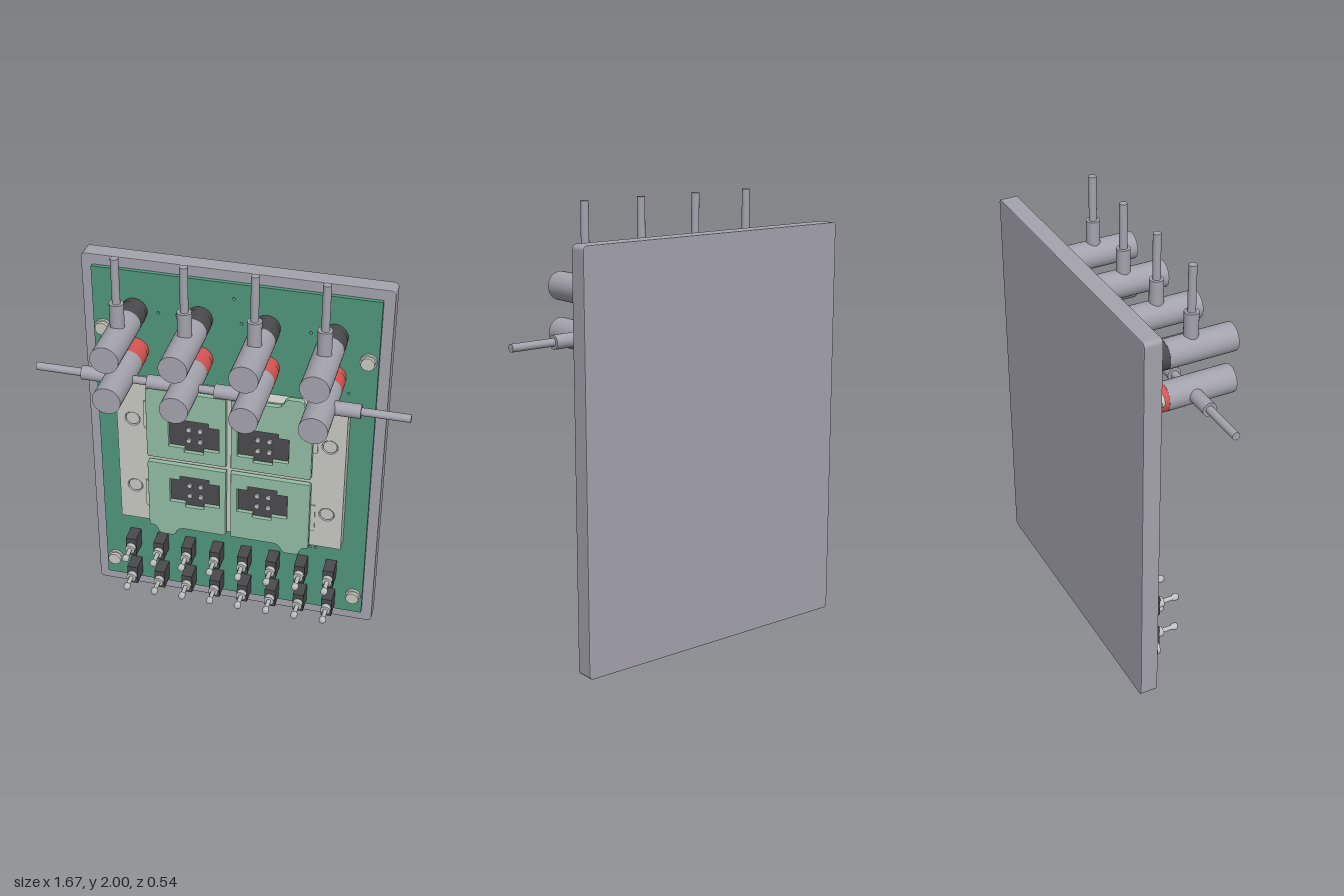
import * as THREE from 'three';

const mat = (name, color, side = THREE.FrontSide) => {
  const m = new THREE.MeshStandardMaterial({ color, side });
  m.name = name;
  return m;
};

export function createModel() {
  const root = new THREE.Group();
  root.name = 'controlPanel';
  const M = {
    grey: mat('plateGrey', 0xa4a3ad),
    pcb: mat('boardGreen', 0x4f967c),
    mint: mat('coverMint', 0x92bda4),
    pale: mat('paleGrey', 0xc8c8c3),
    black: mat('darkPlastic', 0x4a494c),
    red: mat('redPlastic', 0xd55452),
    metal: mat('metal', 0xbfc0c0),
  };

  const add = (name, geo, material, x = 0, y = 0, z = 0, parent = root) => {
    const m = new THREE.Mesh(geo, material);
    m.name = name;
    m.position.set(x, y, z);
    parent.add(m);
    return m;
  };
  // box from its extents
  const box = (name, x0, x1, y0, y1, z0, z1, material, parent) =>
    add(name, new THREE.BoxGeometry(x1 - x0, y1 - y0, z1 - z0), material,
      (x0 + x1) / 2, (y0 + y1) / 2, (z0 + z1) / 2, parent);
  // cylinder along z
  const rod = (name, r, x, y, z0, z1, material, parent, seg = 32) =>
    add(name, new THREE.CylinderGeometry(r, r, z1 - z0, seg).rotateX(Math.PI / 2), material,
      x, y, (z0 + z1) / 2, parent);
  const circle = (x, y, r) => new THREE.Path().absarc(x, y, r, 0, Math.PI * 2, true);
  const rounded = (x0, x1, y0, y1, r) => {
    const s = new THREE.Shape();
    s.absarc(x1 - r, y1 - r, r, 0, Math.PI / 2);
    s.absarc(x0 + r, y1 - r, r, Math.PI / 2, Math.PI);
    s.absarc(x0 + r, y0 + r, r, Math.PI, Math.PI * 1.5);
    s.absarc(x1 - r, y0 + r, r, Math.PI * 1.5, Math.PI * 2);
    return s;
  };
  const extrude = (shape, depth, curveSegments = 6, bevel = 0) => new THREE.ExtrudeGeometry(shape, {
    depth: depth - 2 * bevel, curveSegments, bevelEnabled: bevel > 0,
    bevelThickness: bevel, bevelSize: bevel, bevelOffset: -bevel, bevelSegments: 2,
  }).translate(0, 0, bevel);

  // Backing plate and circuit board with drilled holes
  add('backPlate', extrude(rounded(-0.7, 0.7, 0, 1.86, 0.02), 0.083, 6, 0.004), M.grey, 0, 0, -0.27);
  const board = rounded(-0.65, 0.65, 0.06, 1.81, 0.004);
  for (const cx of [-0.355, -0.12, 0.12, 0.355])
    for (let i = -2; i <= 2; i++) board.holes.push(circle(cx + i * 0.027, 0.425, 0.007));
  for (const [x, y] of [[0, 1.735], [-0.345, 1.615], [-0.26, 1.615], [0.035, 1.615], [0.345, 1.615], [-0.53, 1.33], [0.525, 1.33]])
    board.holes.push(circle(x, y, 0.007));
  add('circuitBoard', extrude(board, 0.02), M.pcb, 0, 0, -0.188);

  // Corner screws
  for (const x of [-0.605, 0.605]) for (const y of [0.165, 1.51]) {
    rod('screwWasher', 0.038, x, y, -0.17, -0.155, M.pale);
    rod('screwHead', 0.031, x, y, -0.156, -0.138, M.pale);
  }

  // Central mounting block with its mounting holes and side clips
  const block = rounded(-0.54, 0.54, 0.49, 1.27, 0.004);
  for (const x of [-0.465, 0.465]) for (const y of [0.685, 1.07]) {
    block.holes.push(circle(x, y, 0.037));
    rod('blockScrew', 0.032, x, y, -0.17, -0.108, M.pale);
  }
  add('mountingBlock', extrude(block, 0.065, 12), M.pale, 0, 0, -0.169);
  for (const s of [-1, 1]) for (const y of [0.655, 1.105]) {
    const x = s * 0.36;
    box('sideClip', x - 0.05, x + 0.05, y - 0.075, y + 0.075, -0.106, -0.098, M.pale);
  }

  // Four mint covers, each with a tab, a cross-shaped opening and a pin socket
  const cross = (Type, cx, cy) => {
    const p = new Type();
    const pts = [[0.12, 0.065], [0.07, 0.065], [0.07, 0.088], [-0.07, 0.088], [-0.07, 0.065], [-0.12, 0.065],
      [-0.12, -0.065], [-0.045, -0.065], [-0.045, -0.088], [0.045, -0.088], [0.045, -0.065], [0.12, -0.065]];
    p.setFromPoints(pts.map(([x, y]) => new THREE.Vector2(cx + x, cy + y)));
    p.closePath();
    return p;
  };
  const cover = (sx, sy) => {
    const g = new THREE.Group();
    g.name = 'moduleCover';
    const X = (d) => sx * d;
    const Y = (d) => 0.88 + sy * d;
    const outline = [[0.012, 0.025], [0.012, 0.015], [0.385, 0.015], [0.39, 0.025], [0.39, 0.385], [0.385, 0.39],
      [0.36, 0.395], [0.35, 0.41], [0.345, 0.428], [0.33, 0.437], [0.275, 0.437], [0.26, 0.428],
      [0.253, 0.41], [0.24, 0.395], [0.22, 0.39], [0.017, 0.39], [0.012, 0.385]];
    const s = new THREE.Shape(outline.map(([x, y]) => new THREE.Vector2(X(x), Y(y))));
    const cx = X(0.163);
    const cy = sy > 0 ? 1.035 : 0.715;
    s.holes.push(cross(THREE.Path, cx, cy));
    add('cover', extrude(s, 0.029, 6, 0.004), M.mint, 0, 0, -0.098, g);
    add('socket', extrude(cross(THREE.Shape, cx, cy), 0.016), M.black, 0, 0, -0.105, g);
    for (const dx of [-0.027, 0.027]) for (const dy of [-0.03, 0.03])
      rod('socketPin', 0.012, cx + dx, cy + dy, -0.1, -0.08, M.metal, g, 12);
    root.add(g);
  };
  for (const sx of [-1, 1]) for (const sy of [-1, 1]) cover(sx, sy);

  // Banana plugs: coloured collar, grey barrel and side lead
  const plug = (x, y, collar, leadAngle) => {
    const g = new THREE.Group();
    g.name = 'plug';
    g.position.set(x, y, 0);
    rod('collar', 0.06, 0, 0, -0.17, -0.048, collar, g);
    rod('collarRim', 0.063, 0, 0, -0.135, -0.05, collar, g);
    rod('barrel', 0.064, 0, 0, -0.05, 0.27, M.grey, g);
    const lead = new THREE.Group();
    lead.name = 'lead';
    lead.position.z = 0.075;
    lead.rotation.z = leadAngle;
    add('leadSleeve', new THREE.CylinderGeometry(0.032, 0.032, 0.172, 24), M.grey, 0, 0.086, 0, lead);
    add('leadWire', new THREE.CylinderGeometry(0.018, 0.018, 0.22, 20), M.grey, 0, 0.275, 0, lead);
    g.add(lead);
    root.add(g);
  };
  [-0.455, -0.155, 0.15, 0.45].forEach((x, i) => {
    plug(x, 1.615, M.black, 0);
    plug(x, 1.41, M.red, i < 3 ? Math.PI / 2 : -Math.PI / 2);
  });

  // Two rows of toggle switches
  const lever = new THREE.LatheGeometry([[0, -0.06], [0.011, -0.06], [0.01, -0.005], [0.016, 0.0], [0.017, 0.018],
    [0.012, 0.025], [0, 0.025]].map(([r, z]) => new THREE.Vector2(r, z)), 16).rotateX(Math.PI / 2);
  for (const y of [0.315, 0.135]) for (let i = 0; i < 8; i++) {
    const x = -0.493 + i * 0.1405;
    box('switchBody', x - 0.026, x + 0.026, y - 0.05, y + 0.05, -0.17, -0.08, M.black);
    rod('switchBushing', 0.024, x, y, -0.081, -0.056, M.metal, root, 16);
    add('switchLever', lever, M.metal, x, y, 0);
  }
  return root;
}
